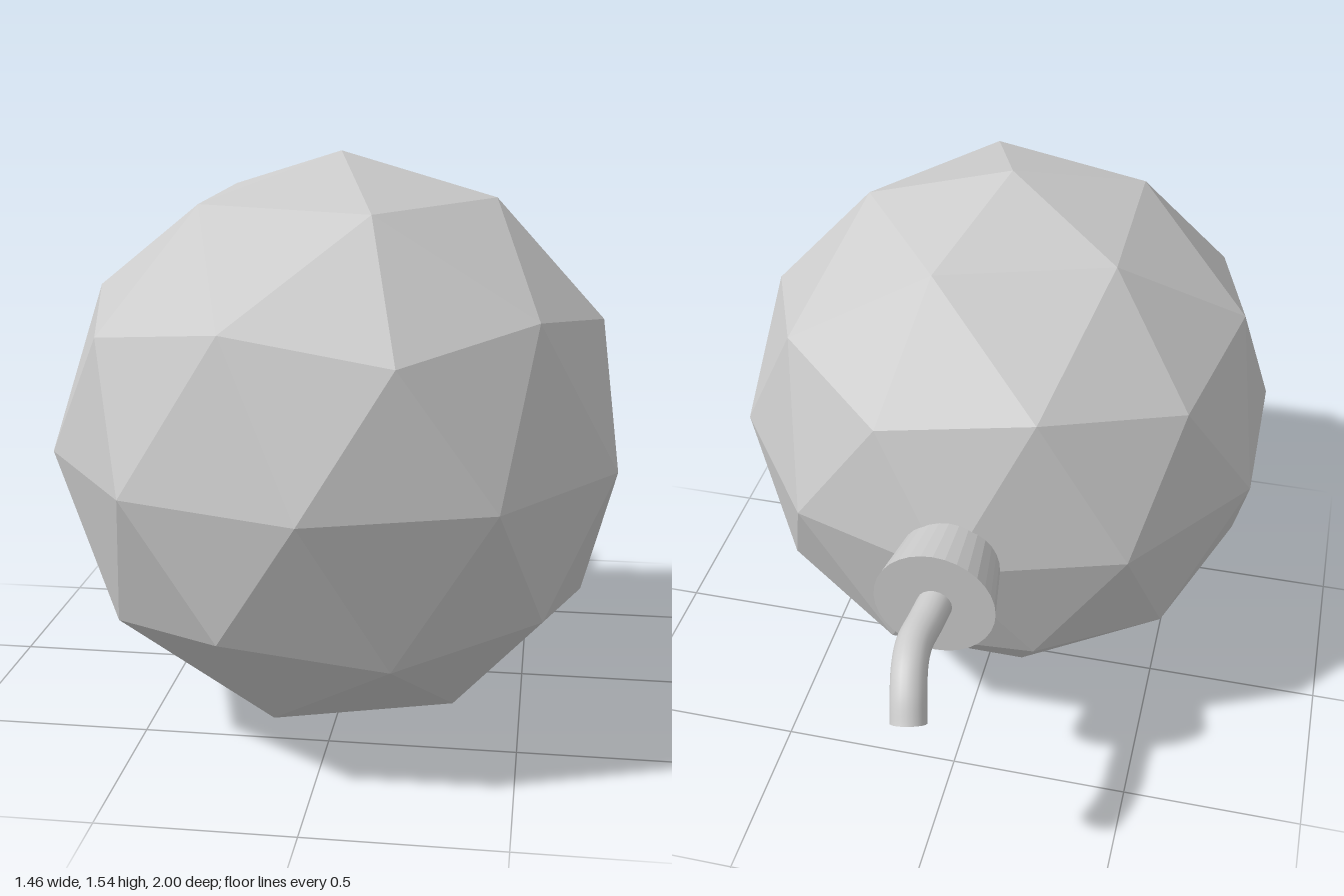
import * as THREE from 'three';

const CENTRE_Y = 0.77, CENTRE_Z = 0.23, RADIUS = 0.77;

export function createModel() {
  const model = new THREE.Group();
  model.name = 'roundBomb';
  const flat = new THREE.MeshStandardMaterial({ color: 0xcccccc, flatShading: true });
  const smooth = new THREE.MeshStandardMaterial({ color: 0xcccccc });

  const add = (name, geometry, material, parent = model) => {
    const mesh = new THREE.Mesh(geometry, material);
    mesh.name = name;
    parent.add(mesh);
    return mesh;
  };

  // Faceted ball: once-subdivided icosahedron, turned to stand on a vertex
  const ball = new THREE.IcosahedronGeometry(RADIUS, 1);
  ball.rotateZ(-Math.atan2(1, (1 + Math.sqrt(5)) / 2));
  ball.computeVertexNormals();
  add('body', ball, flat).position.set(0, CENTRE_Y, CENTRE_Z);

  // Flared neck at the back, its narrow end sunk into the ball
  const neckFront = -0.46, neckBack = -0.655;
  const neck = new THREE.CylinderGeometry(0.16, 0.129, neckFront - neckBack, 32);
  neck.rotateX(-Math.PI / 2);
  add('neck', neck, flat).position.set(0, CENTRE_Y, (neckFront + neckBack) / 2);

  // Fuse: a tube that leaves the neck straight, then droops
  const fuse = new THREE.Group();
  fuse.name = 'fuse';
  model.add(fuse);
  const path = new THREE.CatmullRomCurve3([
    [-0.003, 0.77, -0.63],
    [0.005, 0.77, -0.72],
    [0.012, 0.77, -0.8],
    [0.006, 0.757, -0.865],
    [-0.005, 0.718, -0.92],
    [-0.015, 0.662, -0.962],
  ].map((p) => new THREE.Vector3(...p)));
  const fuseRadius = 0.046;
  add('fuseCord', new THREE.TubeGeometry(path, 28, fuseRadius, 20), smooth, fuse);

  // Disc closing the free end of the fuse
  const tip = add('fuseTip', new THREE.CircleGeometry(fuseRadius, 20), flat, fuse);
  tip.position.copy(path.getPointAt(1));
  tip.quaternion.setFromUnitVectors(new THREE.Vector3(0, 0, 1), path.getTangentAt(1));

  return model;
}
